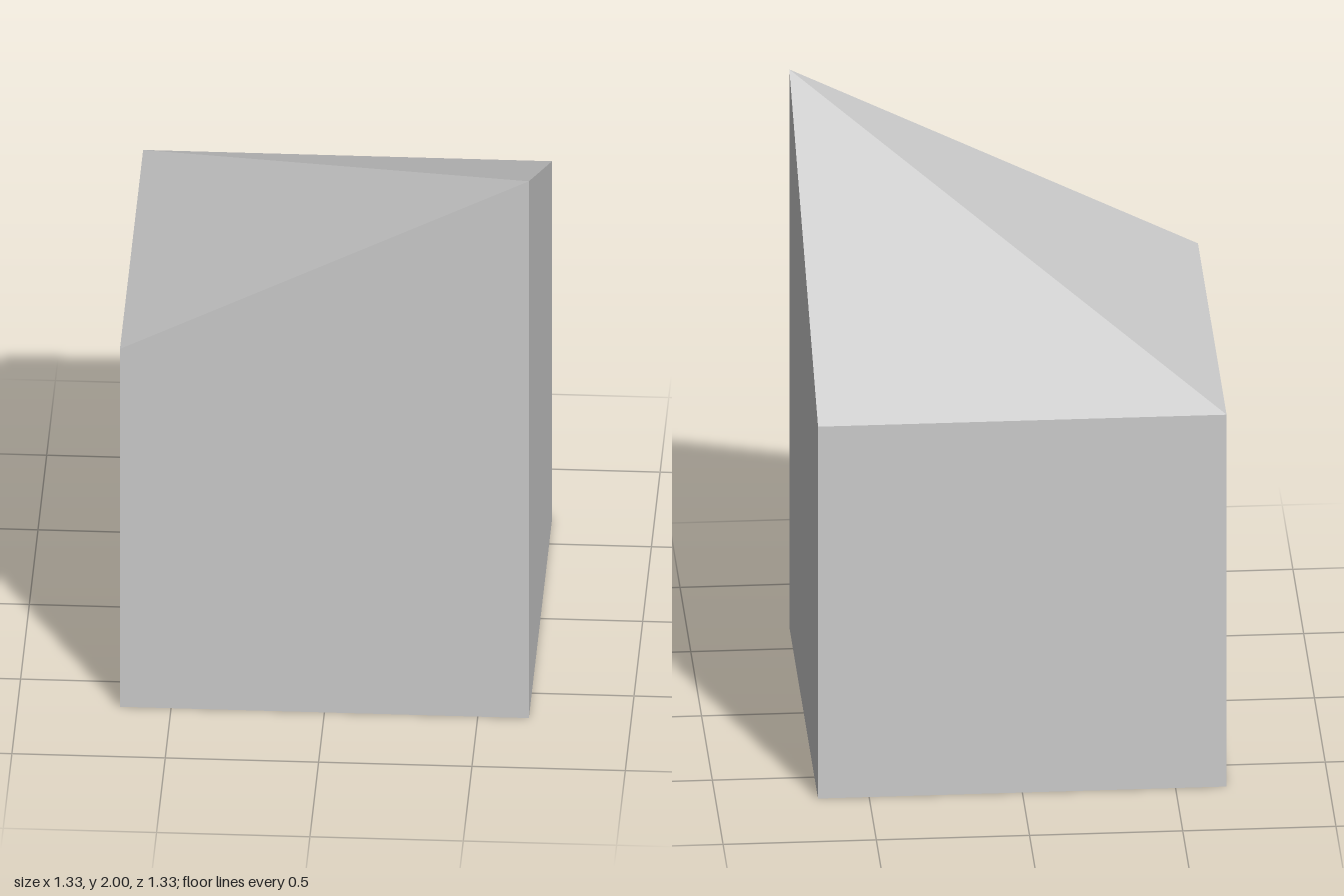
import * as THREE from 'three';

const WIDTH = 4 / 3;  // square footprint
const EAVES = 4 / 3;  // height of three corners
const PEAK = 2;       // height of the front corner at +x

export function createModel() {
  const group = new THREE.Group();
  group.name = 'slopedBlock';

  // Cube standing on the ground; the quarter turn puts the top's diagonal
  // fold between the back corner and the raised corner
  const box = new THREE.BoxGeometry(WIDTH, EAVES, WIDTH)
    .rotateY(Math.PI / 2)
    .translate(0, EAVES / 2, 0);

  // Pull one top corner up, so the top becomes two slopes meeting on a ridge
  const pos = box.attributes.position;
  for (let i = 0; i < pos.count; i++) {
    if (pos.getX(i) > 0 && pos.getZ(i) > 0 && pos.getY(i) > EAVES / 2) pos.setY(i, PEAK);
  }

  // Separate the triangles for crisp facets
  const geometry = box.toNonIndexed();
  geometry.computeVertexNormals();

  const material = new THREE.MeshStandardMaterial({ color: 0xcccccc, flatShading: true });
  const block = new THREE.Mesh(geometry, material);
  block.name = 'blockWithRaisedCorner';
  group.add(block);
  return group;
}
